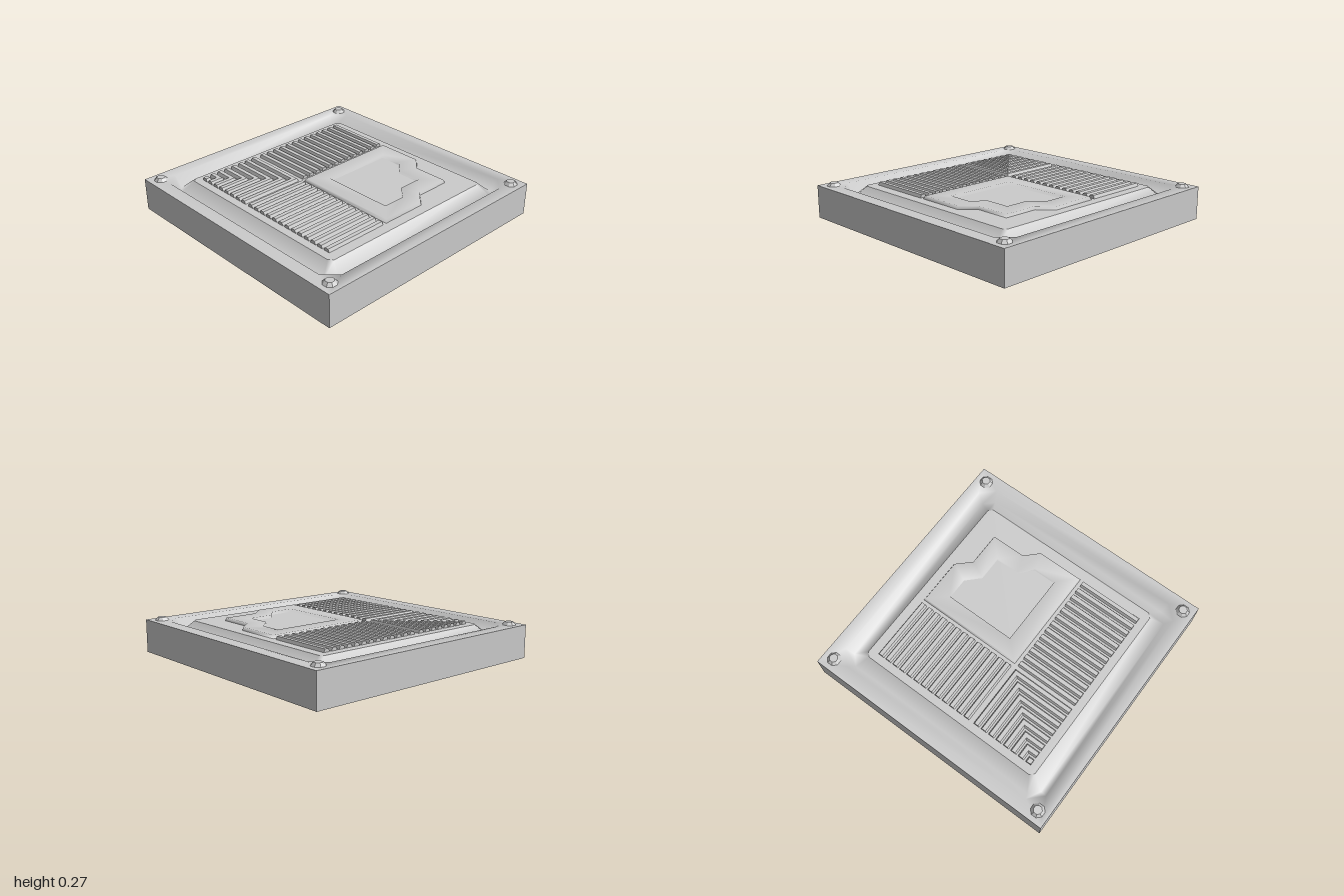
import * as THREE from 'three';

const smooth = new THREE.MeshStandardMaterial({ color: 0xcccccc });
const flat = new THREE.MeshStandardMaterial({ color: 0xcccccc, flatShading: true });
const TOP = 0.25, RAISED = 0.273;

// A ring is { y, pts: [[x, z], ...] }, clockwise seen from above.
function loft(rings, { cap = true, material = flat, name }) {
  const n = rings[0].pts.length, pos = [], idx = [];
  for (const r of rings) for (const [x, z] of r.pts) pos.push(x, r.y, z);
  for (let k = 0; k < rings.length - 1; k++) {
    for (let i = 0; i < n; i++) {
      const a = k * n + i, a1 = k * n + (i + 1) % n;
      idx.push(a, a + n, a1, a1, a + n, a1 + n);
    }
  }
  if (cap) {
    const p = rings[rings.length - 1].pts, o = (rings.length - 1) * n;
    const contour = p.map(([x, z]) => new THREE.Vector2(x, z));
    for (const [a, b, c] of THREE.ShapeUtils.triangulateShape(contour, [])) {
      const up = (p[b][1] - p[a][1]) * (p[c][0] - p[a][0]) - (p[b][0] - p[a][0]) * (p[c][1] - p[a][1]);
      idx.push(o + a, o + (up > 0 ? b : c), o + (up > 0 ? c : b));
    }
  }
  const g = new THREE.BufferGeometry();
  g.setAttribute('position', new THREE.Float32BufferAttribute(pos, 3));
  g.setIndex(idx);
  g.computeVertexNormals();
  const mesh = new THREE.Mesh(g, material);
  mesh.name = name;
  return mesh;
}

// Square of half size s with corners cut by c
const octagon = (s, c) => [
  [-s + c, -s], [s - c, -s], [s, -s + c], [s, s - c],
  [s - c, s], [-s + c, s], [-s, s - c], [-s, -s + c],
];

const rect = (x0, x1, z0, z1) => [[x0, z0], [x1, z0], [x1, z1], [x0, z1]];

// Ridge with sloping flanks; outline(w) gives its footprint at half width w
const ridge = (outline, name) => loft(
  [{ y: TOP, pts: outline(0.025) }, { y: RAISED, pts: outline(0.015) }], { name });

function createPanel() {
  const g = new THREE.Group();
  g.name = 'panel';
  const square = rect(-1, 1, -1, 1);
  g.add(loft([{ y: 0, pts: square }, { y: TOP, pts: square }], { cap: false, name: 'panelSides' }));

  const bottom = new THREE.Mesh(new THREE.PlaneGeometry(2, 2), flat);
  bottom.rotation.x = Math.PI / 2;
  bottom.name = 'panelBottom';
  g.add(bottom);

  // rim, groove and sloped edge of the raised centre
  g.add(loft([
    { y: TOP, pts: octagon(1, 0) },
    { y: TOP, pts: octagon(0.9, 0.1) },
    { y: 0.16, pts: octagon(0.85, 0.07) },
    { y: TOP, pts: octagon(0.75, 0.03) },
  ], { cap: false, material: smooth, name: 'rimAndGroove' }));
  g.add(loft([{ y: TOP, pts: octagon(0.75, 0.03) }], { name: 'centrePlatform' }));
  return g;
}

function createRidges() {
  const g = new THREE.Group();
  g.name = 'ridges';
  const pitch = 0.065, x0 = -0.69, z1 = 0.69;
  // two straight blocks
  for (let i = 0; i < 13; i++) {
    const z = -0.655 + i * pitch, x = -0.135 + i * pitch;
    g.add(ridge((w) => rect(x0, -0.19, z - w, z + w), 'crossRidge'));
    g.add(ridge((w) => rect(x - w, x + w, 0.19, z1), 'lengthRidge'));
  }
  // nested angled ridges in the corner
  for (let i = 0; i < 8; i++) {
    const x = -0.215 - i * pitch, z = -x;
    g.add(ridge((w) => {
      const xi = Math.max(x - w, x0), zi = Math.min(z + w, z1);
      return [[x0, z - w], [x + w, z - w], [x + w, z1], [xi, z1], [xi, zi], [x0, zi]];
    }, 'angledRidge'));
  }
  return g;
}

// Notched raised frame with a sunken floor
function createNotchedFrame() {
  const outer = [[-0.16, -0.68], [0.2, -0.68], [0.3, -0.575], [0.57, -0.575],
    [0.57, -0.3], [0.67, -0.2], [0.67, 0.16], [-0.16, 0.16]];
  const inner = [[-0.03, -0.54], [0.14, -0.54], [0.24, -0.44], [0.43, -0.44],
    [0.43, -0.25], [0.53, -0.16], [0.53, 0.02], [-0.03, 0.02]];
  const shrink = (pts, s) => pts.map(([x, z]) => [0.255 + (x - 0.255) * s, -0.26 + (z + 0.26) * s]);
  return loft([
    { y: TOP, pts: outer },
    { y: RAISED, pts: shrink(outer, 0.975) },
    { y: RAISED, pts: inner },
    { y: 0.235, pts: shrink(inner, 0.98) },
  ], { material: smooth, name: 'notchedFrame' });
}

export function createModel() {
  const model = new THREE.Group();
  model.name = 'reliefPanel';
  model.add(createPanel(), createRidges(), createNotchedFrame());

  // corner bolts
  const boltGeometry = new THREE.CylinderGeometry(0.032, 0.052, RAISED - TOP, 8);
  for (const sx of [-1, 1]) for (const sz of [-1, 1]) {
    const bolt = new THREE.Mesh(boltGeometry, flat);
    bolt.position.set(sx * 0.913, (TOP + RAISED) / 2, sz * 0.913);
    bolt.rotation.y = Math.PI / 8;
    bolt.name = 'cornerBolt';
    model.add(bolt);
  }
  return model;
}
